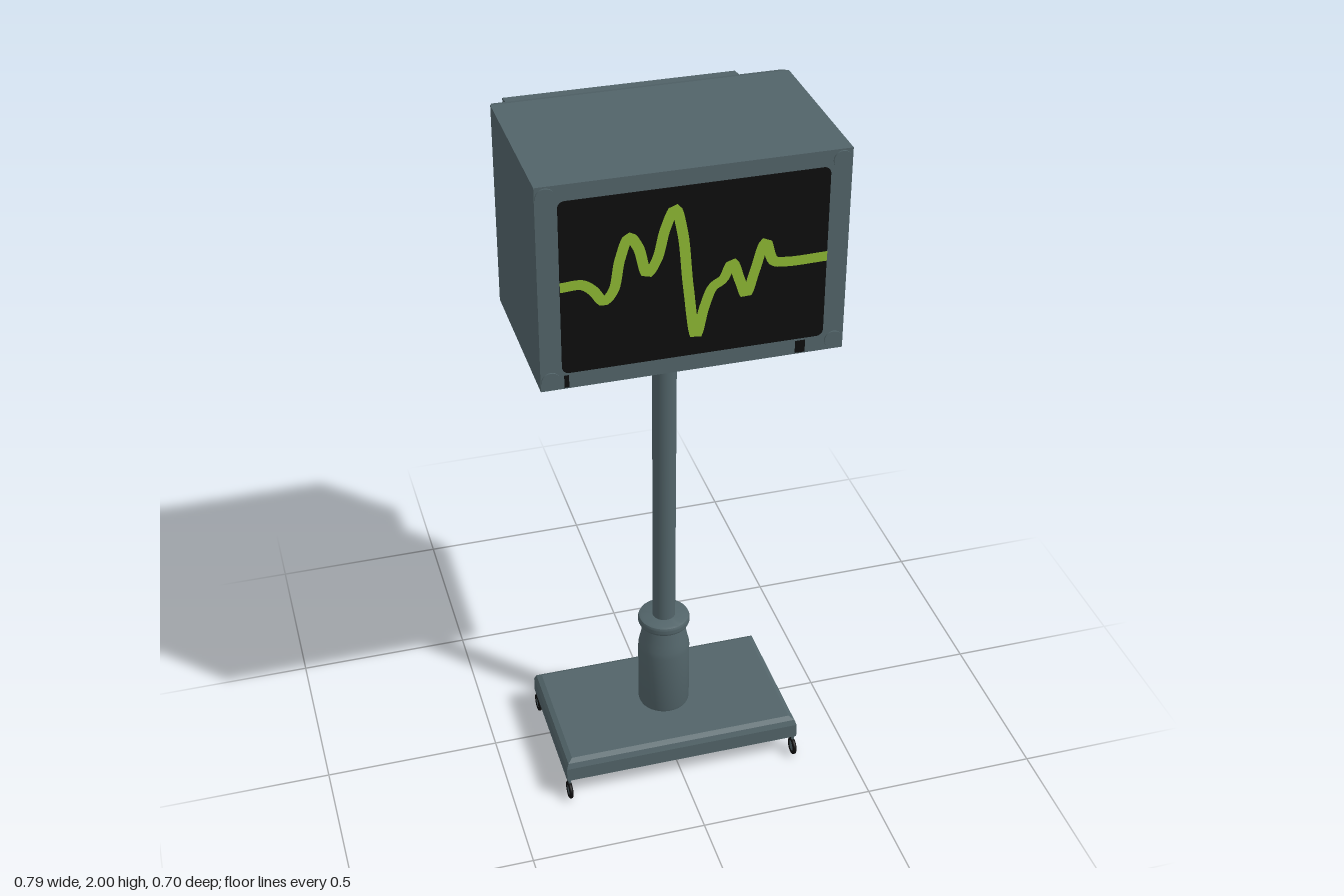
import * as THREE from 'three';
import { toCreasedNormals } from 'three/addons/utils/BufferGeometryUtils.js';

const POLE_Z = 0.08;
const FACE_Z = 0.346;

// Rectangular sections [z, halfWidth, yMin, yMax] joined from back to front, flat faces
function loft(sections) {
  const pos = [], idx = [];
  for (const [z, w, y0, y1] of sections) pos.push(-w, y0, z, w, y0, z, w, y1, z, -w, y1, z);
  for (let i = 0; i < sections.length - 1; i++) {
    for (let j = 0; j < 4; j++) {
      const a = i * 4 + j, b = i * 4 + (j + 1) % 4;
      idx.push(a, b, b + 4, a, b + 4, a + 4);
    }
  }
  const n = (sections.length - 1) * 4;
  idx.push(0, 2, 1, 0, 3, 2, n, n + 1, n + 2, n, n + 2, n + 3);
  const g = new THREE.BufferGeometry();
  g.setAttribute('position', new THREE.Float32BufferAttribute(pos, 3));
  g.setIndex(idx);
  const flat = g.toNonIndexed();
  flat.computeVertexNormals();
  return flat;
}

function lathe(points) {
  const g = new THREE.LatheGeometry(points.map(p => new THREE.Vector2(...p)), 32);
  return toCreasedNormals(g, 0.6);
}

// Disc with rounded rim
const collar = (r, y0, y1, b) => lathe([
  [0, y0], [r - b, y0], [r - b * 0.3, y0 + b * 0.3], [r, y0 + b],
  [r, y1 - b], [r - b * 0.3, y1 - b * 0.3], [r - b, y1], [0, y1],
]);

function roundedRect(x0, y0, x1, y1, r) {
  const s = new THREE.Shape();
  s.absarc(x1 - r, y1 - r, r, 0, Math.PI / 2);
  s.absarc(x0 + r, y1 - r, r, Math.PI / 2, Math.PI);
  s.absarc(x0 + r, y0 + r, r, Math.PI, Math.PI * 1.5);
  s.absarc(x1 - r, y0 + r, r, Math.PI * 1.5, Math.PI * 2);
  return s;
}

// Flat ribbon following a curve in the xy plane
function ribbon(curve, width, steps) {
  const left = [], right = [];
  for (let i = 0; i <= steps; i++) {
    const p = curve.getPointAt(i / steps), t = curve.getTangentAt(i / steps);
    left.push(p.x - t.y * width / 2, p.y + t.x * width / 2, 0);
    right.push(p.x + t.y * width / 2, p.y - t.x * width / 2, 0);
  }
  const idx = [], m = steps + 1;
  for (let i = 0; i < steps; i++) idx.push(i, m + i, m + i + 1, i, m + i + 1, i + 1);
  const g = new THREE.BufferGeometry();
  g.setAttribute('position', new THREE.Float32BufferAttribute([...left, ...right], 3));
  g.setIndex(idx);
  g.computeVertexNormals();
  return g;
}

export function createModel() {
  const group = new THREE.Group();
  const mat = (name, color, side = THREE.FrontSide) => {
    const m = new THREE.MeshStandardMaterial({ color, side });
    m.name = name;
    return m;
  };
  const grey = mat('slate grey', 0x526469);
  const black = mat('black', 0x0d0d0d);
  const green = mat('trace green', 0x8db833, THREE.DoubleSide);

  const add = (name, geometry, material, x = 0, y = 0, z = 0, parent = group) => {
    const mesh = new THREE.Mesh(geometry, material);
    mesh.name = name;
    mesh.position.set(x, y, z);
    parent.add(mesh);
    return mesh;
  };

  // Monitor housing with bevelled back, and the tapered rear hump
  add('monitorHousing', loft([
    [-0.18, 0.32, 1.5, 1.94], [-0.165, 0.385, 1.452, 1.988],
    [-0.13, 0.395, 1.44, 2], [FACE_Z, 0.395, 1.44, 2],
  ]), grey);
  add('rearHousing', loft([[-0.35, 0.32, 1.53, 1.915], [-0.175, 0.32, 1.503, 1.94]]), grey);

  // Screen and pulse trace
  add('screen', new THREE.ExtrudeGeometry(roundedRect(-0.34, 1.485, 0.34, 1.957, 0.018),
    { depth: 0.002, bevelEnabled: false, curveSegments: 6 }), black, 0, 0, FACE_Z);
  const trace = [
    [-0.34, 1.728], [-0.285, 1.728], [-0.258, 1.708], [-0.232, 1.675], [-0.208, 1.7],
    [-0.19, 1.785], [-0.167, 1.84], [-0.145, 1.81], [-0.122, 1.735], [-0.098, 1.77],
    [-0.077, 1.85], [-0.053, 1.9], [-0.034, 1.835], [-0.018, 1.68], [0.003, 1.54],
    [0.024, 1.62], [0.045, 1.672], [0.071, 1.69], [0.093, 1.732], [0.114, 1.68],
    [0.131, 1.638], [0.152, 1.7], [0.178, 1.777], [0.2, 1.722], [0.235, 1.714], [0.34, 1.714],
  ].map(([x, y]) => new THREE.Vector3(x, y, 0));
  add('pulseTrace', ribbon(new THREE.CatmullRomCurve3(trace), 0.027, 220), green, 0, 0, FACE_Z + 0.0035);

  // Corner screws and small dark slots on the bezel
  const screw = new THREE.CylinderGeometry(0.024, 0.024, 0.004, 24).rotateX(Math.PI / 2);
  for (const x of [-0.369, 0.369]) {
    for (const y of [1.468, 1.972]) add('cornerScrew', screw, grey, x, y, FACE_Z + 0.002);
  }
  add('bezelSlot', new THREE.BoxGeometry(0.026, 0.034, 0.002), black, 0.28, 1.461, FACE_Z + 0.001);
  add('bezelSlot', new THREE.BoxGeometry(0.012, 0.034, 0.002), black, -0.329, 1.461, FACE_Z + 0.001);

  // Stand column
  add('topCollar', collar(0.07, 1.403, 1.445, 0.01), grey, 0, 0, POLE_Z);
  add('pole', new THREE.CylinderGeometry(0.033, 0.033, 1.0, 32), grey, 0, 0.92, POLE_Z);
  add('lowerCollar', collar(0.075, 0.42, 0.45, 0.01), grey, 0, 0, POLE_Z);
  add('columnFoot', lathe([
    [0.07, 0.13], [0.075, 0.145], [0.075, 0.335], [0.073, 0.352], [0.068, 0.372], [0.058, 0.422],
  ]), grey, 0, 0, POLE_Z);

  // Base plate with eased top edges
  add('basePlate', loft([
    [0.068, 0.348, -0.288, 0.128], [0.112, 0.348, -0.288, 0.128],
    [0.128, 0.342, -0.282, 0.122], [0.136, 0.328, -0.268, 0.108],
  ]).rotateX(-Math.PI / 2), grey);

  // Castors
  const tyre = new THREE.TorusGeometry(0.021, 0.006, 10, 28).rotateY(Math.PI / 2);
  const hub = new THREE.CylinderGeometry(0.019, 0.019, 0.007, 24).rotateZ(Math.PI / 2);
  const stem = new THREE.CylinderGeometry(0.004, 0.004, 0.025, 12);
  for (const x of [-0.34, 0.34]) {
    for (const z of [0.28, -0.115]) {
      const castor = new THREE.Group();
      castor.name = 'castor';
      castor.position.set(x, 0.027, z);
      add('tyre', tyre, black, 0, 0, 0, castor);
      add('hub', hub, grey, 0, 0, 0, castor);
      add('stem', stem, grey, 0, 0.034, 0, castor);
      group.add(castor);
    }
  }
  return group;
}
